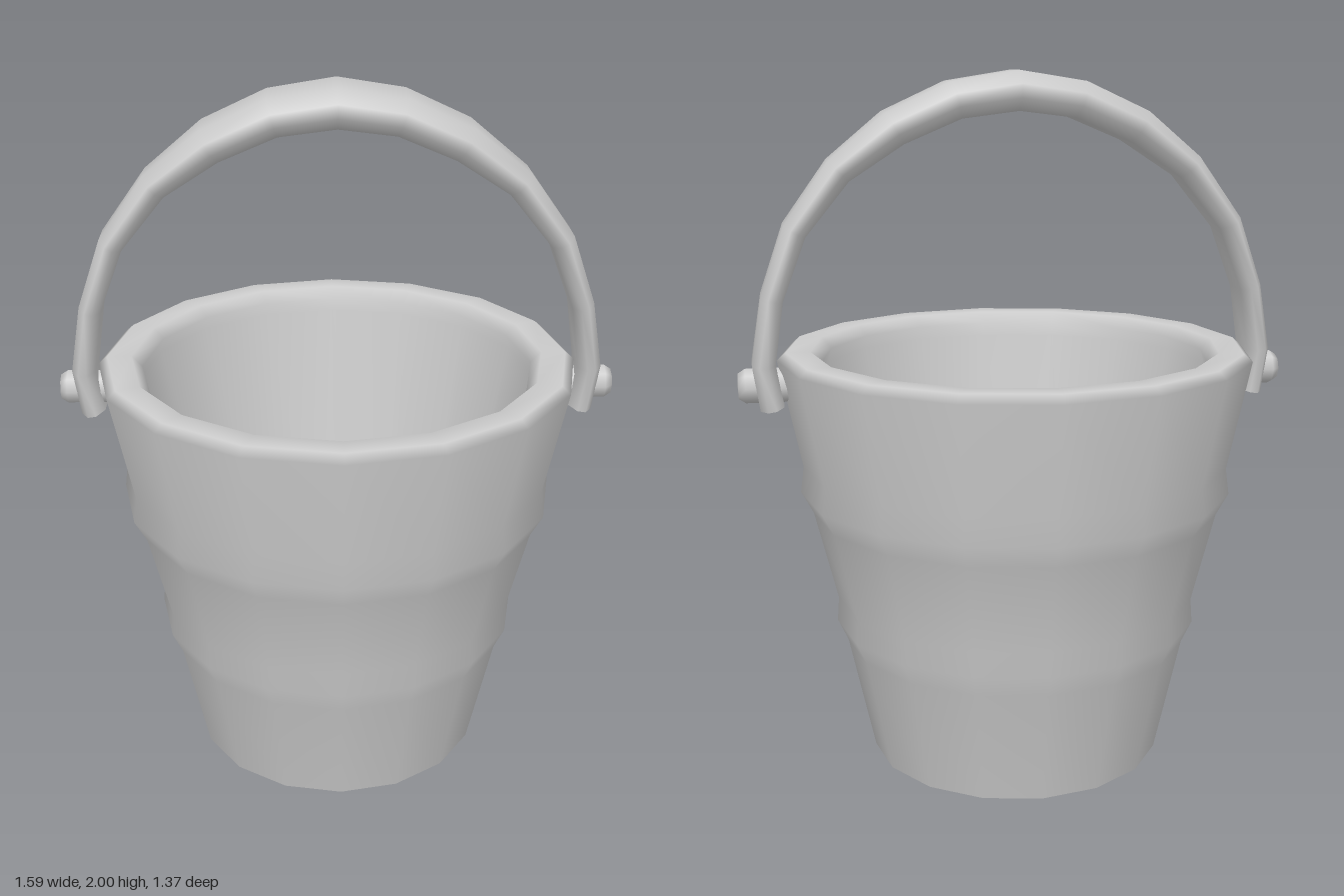
import * as THREE from 'three';

const SIDES = 16;
const material = new THREE.MeshStandardMaterial({ color: 0xcccccc });

function addMesh(parent, name, geometry) {
  const mesh = new THREE.Mesh(geometry, material);
  mesh.name = name;
  parent.add(mesh);
  return mesh;
}

const profile = (pairs) => pairs.map(([r, y]) => new THREE.Vector2(r, y));

// Sweeps a chamfered bar along stations [x, y, halfThickness, halfWidth] in the xy plane
function sweepBar(stations) {
  const positions = [];
  const indices = [];
  const ring = (i) => {
    const [x, y, t, w] = stations[i];
    const a = stations[Math.max(i - 1, 0)];
    const b = stations[Math.min(i + 1, stations.length - 1)];
    const len = Math.hypot(b[0] - a[0], b[1] - a[1]);
    const nx = -(b[1] - a[1]) / len;
    const ny = (b[0] - a[0]) / len;
    const flat = w - 0.04;
    const side = t * 0.35;
    const section = [
      [t, -flat], [t, flat], [side, w], [-side, w],
      [-t, flat], [-t, -flat], [-side, -w], [side, -w],
    ];
    for (const [n, z] of section) positions.push(x + nx * n, y + ny * n, z);
  };
  const last = stations.length - 1;
  for (let i = 0; i <= last; i++) ring(i);
  for (let i = 0; i < last; i++) {
    for (let j = 0; j < 8; j++) {
      const a = i * 8 + j;
      const b = i * 8 + ((j + 1) % 8);
      indices.push(a, b, a + 8, b, b + 8, a + 8);
    }
  }
  // Flat end caps on their own vertices
  const start = positions.length / 3;
  ring(0);
  ring(last);
  for (let j = 1; j < 7; j++) {
    indices.push(start, start + j + 1, start + j);
    indices.push(start + 8, start + 8 + j, start + 9 + j);
  }
  const geometry = new THREE.BufferGeometry();
  geometry.setAttribute('position', new THREE.Float32BufferAttribute(positions, 3));
  geometry.setIndex(indices);
  geometry.computeVertexNormals();
  return geometry;
}

export function createModel() {
  const model = new THREE.Group();
  model.name = 'bucket';

  // Tapered wall with two raised bands, a rounded rim and the inner face
  addMesh(model, 'bucketWall', new THREE.LatheGeometry(profile([
    [0.43, 0], [0.505, 0.345], [0.535, 0.41], [0.53, 0.48],
    [0.595, 0.745], [0.63, 0.81], [0.62, 0.885],
    [0.685, 1.2], [0.66, 1.222], [0.59, 1.222], [0.56, 1.19],
    [0.57, 1.15], [0.355, 0.08],
  ]), SIDES));

  // Inner floor and underside
  const floor = addMesh(model, 'innerFloor', new THREE.CircleGeometry(0.355, SIDES));
  floor.rotation.x = -Math.PI / 2;
  floor.position.y = 0.08;
  const base = addMesh(model, 'base', new THREE.CircleGeometry(0.43, SIDES));
  base.rotation.x = Math.PI / 2;

  // Arched handle, thicker and wider at the grip
  const half = [
    [0.175, 1.92, 0.052, 0.115], [0.345, 1.845, 0.049, 0.113],
    [0.5, 1.73, 0.04, 0.09], [0.625, 1.567, 0.034, 0.088],
    [0.693, 1.38, 0.031, 0.088], [0.722, 1.195, 0.033, 0.088],
    [0.702, 1.07, 0.034, 0.088],
  ];
  const mirrored = half.map(([x, ...rest]) => [-x, ...rest]).reverse();
  addMesh(model, 'handle', sweepBar([...mirrored, [0, 1.945, 0.055, 0.115], ...half]));

  // Pivot pins with domed heads
  const pinGeometry = new THREE.LatheGeometry(profile([
    [0.05, 0.65], [0.05, 0.775], [0.037, 0.795], [0, 0.797],
  ]), 8);
  for (const side of [1, -1]) {
    const pin = addMesh(model, side > 0 ? 'leftPin' : 'rightPin', pinGeometry);
    pin.rotation.z = -side * Math.PI / 2;
    pin.position.y = 1.13;
  }

  return model;
}
